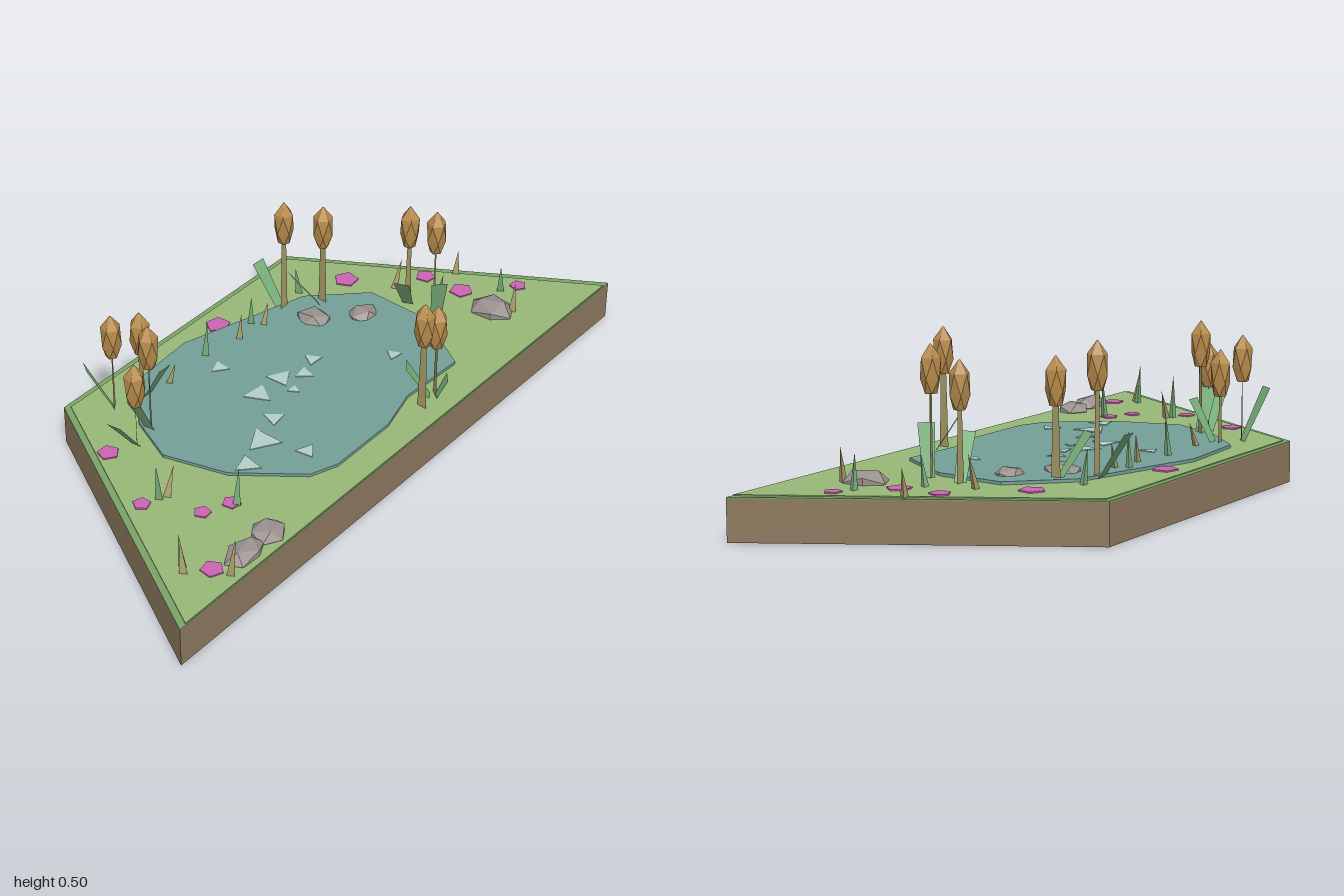
import * as THREE from 'three';

export function createModel() {
  const model = new THREE.Group();
  const mat = (name, color, double) => {
    const m = new THREE.MeshStandardMaterial({ color, flatShading: true });
    m.name = name;
    if (double) m.side = THREE.DoubleSide;
    return m;
  };
  const earth = mat('earth', 0x8e7a60);
  const grass = mat('grass', 0x98b878);
  const rim = mat('grassRim', 0x7ba468);
  const water = mat('water', 0x749f98);
  const glint = mat('waterGlint', 0xb2d0c8);
  const pink = mat('blossom', 0xcb64b4);
  const stone = mat('stone', 0x9a918e);
  const leafGreen = mat('leaf', 0x7ab07c, true);
  const stemTan = mat('stem', 0xa89c68, true);
  const headBrown = mat('cattailHead', 0xb88c4c);

  const add = (name, geo, material, x = 0, y = 0, z = 0, parent = model) => {
    const m = new THREE.Mesh(geo, material);
    m.name = name;
    m.position.set(x, y, z);
    parent.add(m);
    return m;
  };
  // Upright prism over an outline of [x, z] points
  const slab = (pts, y0, y1) => {
    const shape = new THREE.Shape(pts.map(([x, z]) => new THREE.Vector2(x, -z)));
    return new THREE.ExtrudeGeometry(shape, { depth: y1 - y0, bevelEnabled: false })
      .rotateX(-Math.PI / 2).translate(0, y0, 0);
  };
  // Flat-shaded geometry from a list of triangles
  const fromTris = (tris) => {
    const g = new THREE.BufferGeometry();
    g.setAttribute('position', new THREE.Float32BufferAttribute(tris.flat(2), 3));
    g.computeVertexNormals();
    return g;
  };

  // Ground
  add('earthBase', slab([[-1, 0.433], [1, 0.433], [0.5, -0.433], [-0.5, -0.433]], 0, 0.119), earth);
  add('grassRim', slab([[-1, 0.433], [1, 0.433], [0.5, -0.433], [-0.5, -0.433]], 0.119, 0.122), rim);
  add('grassTop', slab([[-0.975, 0.43], [0.975, 0.43], [0.488, -0.416], [-0.488, -0.416]], 0.122, 0.125), grass);

  // Pond and light glints
  add('pond', slab([[-0.5, -0.06], [-0.43, -0.21], [-0.3, -0.345], [-0.06, -0.362], [0.08, -0.32],
    [0.35, -0.24], [0.495, -0.09], [0.485, 0.12], [0.36, 0.315], [0.14, 0.305], [0, 0.342],
    [-0.23, 0.342], [-0.315, 0.31], [-0.45, 0.13]], 0.125, 0.134), water);
  [[-0.09, -0.2, 0.03, 0.4], [-0.12, -0.03, 0.045, 2], [-0.02, -0.03, 0.042, 1.6], [0.04, 0.01, 0.03, 0.2],
    [0.11, -0.015, 0.03, 1], [-0.28, 0.115, 0.056, 0.5], [-0.39, 0.15, 0.042, 2.4], [-0.18, 0.075, 0.035, 1.2],
    [-0.24, 0.24, 0.033, 1.7], [0.275, 0.155, 0.026, 0.9], [-0.04, 0.035, 0.02, 0]].forEach(([x, z, r, a]) => {
    add('glint', new THREE.CylinderGeometry(r, r, 0.003, 3).rotateY(a), glint, x, 0.135, z);
  });

  // Blossoms lying on the grass
  [[-0.58, -0.19, 0.032], [0.08, -0.35, 0.038], [0.51, -0.2, 0.038], [0.675, -0.02, 0.031], [0.68, 0.11, 0.036],
    [0.81, 0.23, 0.026], [-0.69, 0.03, 0.026], [-0.615, 0.18, 0.025], [-0.535, 0.215, 0.027],
    [-0.775, 0.35, 0.033]].forEach(([x, z, r], i) => {
    add('blossom', new THREE.CylinderGeometry(r, r, 0.004, 5).rotateY(i), pink, x, 0.127, z);
  });

  // Faceted stones: x, z, radius x, height, radius z, turn
  [[-0.675, 0.375, 0.065, 0.034, 0.042, 0.3], [-0.57, 0.37, 0.052, 0.03, 0.046, 1], [0.656, 0.24, 0.056, 0.035, 0.066, 2],
    [0.28, -0.145, 0.045, 0.034, 0.055, 0.5], [0.39, -0.045, 0.05, 0.028, 0.042, 1.5]].forEach(([x, z, a, h, b, t]) => {
    add('stone', new THREE.IcosahedronGeometry(1, 0).rotateY(t).scale(a * 1.1, h, b * 1.1), stone, x, 0.127, z);
  });

  // Cattail head: twisted five-sided rings closing in a point
  const rings = [[0, 0.018], [0.04, 0.029], [0.098, 0.029], [0.135, 0.002]].map(([y, r], k) =>
    Array.from({ length: 5 }, (_, i) => {
      const a = (i + k / 2) * Math.PI * 0.4;
      return [r * Math.sin(a), y, r * Math.cos(a)];
    }));
  const tris = [];
  for (let k = 0; k < 3; k++) {
    for (let i = 0; i < 5; i++) {
      const j = (i + 1) % 5;
      tris.push([rings[k][i], rings[k][j], rings[k + 1][i]], [rings[k][j], rings[k + 1][j], rings[k + 1][i]]);
    }
  }
  for (let i = 1; i < 4; i++) {
    tris.push([rings[0][0], rings[0][i + 1], rings[0][i]], [rings[3][0], rings[3][i], rings[3][i + 1]]);
  }
  const headGeo = fromTris(tris);

  // Cattails: x, z, top height, turn of the flat stem
  [[-0.41, -0.32, 0.437, 0.6], [-0.315, -0.3, 0.405, 0.2], [-0.5, -0.155, 0.395, 0.8], [-0.417, -0.176, 0.468, 0.9],
    [0.27, -0.25, 0.5, 0], [0.367, -0.18, 0.465, 1.5], [0.535, 0.015, 0.46, 0], [0.517, 0.123, 0.492, 0.4],
    [0.133, 0.36, 0.475, 1.5], [0.203, 0.355, 0.428, 0.9]].forEach(([x, z, top, turn], i) => {
    const cattail = new THREE.Group();
    cattail.name = 'cattail';
    cattail.position.set(x, 0, z);
    model.add(cattail);
    const y = top - 0.13;
    const stem = fromTris([
      [[-0.016, 0.12, 0], [0.016, 0.12, 0], [0.01, y, 0]],
      [[-0.016, 0.12, 0], [0.01, y, 0], [-0.01, y, 0]]]);
    add('stem', stem, stemTan, 0, 0, 0, cattail).rotation.y = turn;
    add('head', headGeo, headBrown, 0, top - 0.135, 0, cattail).rotation.y = i * 0.7;
  });

  // Broad leaning leaves: base x, z, tip x, z, tip height
  [[-0.41, -0.32, -0.475, -0.365, 0.28], [-0.315, -0.285, -0.315, -0.21, 0.255], [-0.5, -0.155, -0.6, -0.145, 0.25],
    [-0.425, -0.17, -0.5, -0.16, 0.26], [0.27, -0.26, 0.27, -0.35, 0.255], [0.36, -0.18, 0.275, -0.225, 0.25],
    [0.53, 0.02, 0.445, 0.055, 0.25], [0.52, 0.13, 0.49, 0.16, 0.27],
    [0.19, 0.35, 0.15, 0.29, 0.23], [0.2, 0.36, 0.22, 0.385, 0.19]].forEach(([x0, z0, x1, z1, h]) => {
    const d = Math.hypot(x1 - x0, z1 - z0);
    const px = -(z1 - z0) / d, pz = (x1 - x0) / d;
    const at = (x, y, z, w) => [x + px * w, y, z + pz * w];
    const a = at(x0, 0.12, z0, -0.016), b = at(x0, 0.12, z0, 0.016);
    const c = at(x1, h, z1, 0.024), e = at(x1, h, z1, -0.024);
    add('leaf', fromTris([[a, b, c], [a, c, e]]), leafGreen);
  });

  // Pointed blades: x, z, height, lean x, lean z
  [[-0.83, 0.3, 0.1, 0.01, -0.02], [-0.81, 0.28, 0.12, -0.015, 0], [-0.76, 0.4, 0.12, 0.01, 0.01],
    [-0.64, 0.05, 0.13, -0.02, 0.01], [-0.62, 0.06, 0.09, 0.03, 0], [-0.53, 0.23, 0.12, 0.01, 0],
    [-0.235, -0.27, 0.08, 0.01, 0.02], [-0.065, -0.275, 0.13, 0, 0.01], [0.06, -0.25, 0.09, 0.01, 0],
    [0.145, -0.275, 0.11, -0.01, 0.01], [0.16, -0.24, 0.08, 0.02, 0], [0.37, -0.27, 0.1, -0.02, 0],
    [0.57, -0.06, 0.1, 0.02, 0.01], [0.62, 0.07, 0.09, -0.01, 0.02], [0.75, 0.04, 0.08, 0.01, 0],
    [0.76, 0.2, 0.1, -0.02, 0.01], [0.69, 0.29, 0.1, 0.01, 0]].forEach(([x, z, h, lx, lz], i) => {
    const blade = new THREE.ConeGeometry(0.013, h, 3).translate(0, h / 2, 0);
    const p = blade.attributes.position;
    for (let k = 0; k < p.count; k++) {
      const t = p.getY(k) / h;
      p.setX(k, p.getX(k) + lx * t);
      p.setZ(k, p.getZ(k) + lz * t);
    }
    blade.computeVertexNormals();
    add('blade', blade, i % 2 ? leafGreen : stemTan, x, 0.122, z);
  });

  return model;
}
